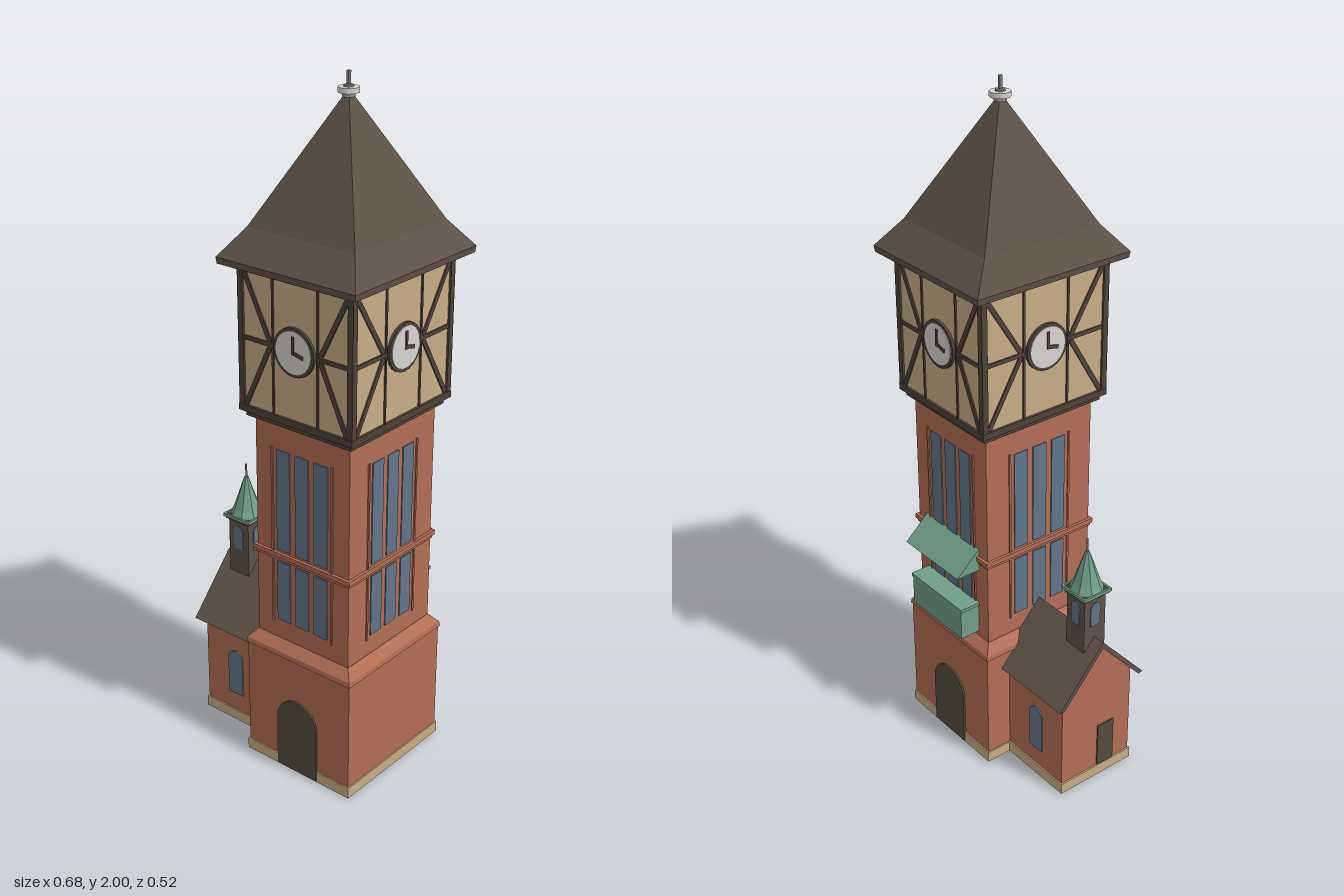
import * as THREE from 'three';

const mat = (name, color) => {
  const m = new THREE.MeshStandardMaterial({ color });
  m.name = name;
  return m;
};

export function createModel() {
  const brick = mat('brick', 0xb46e55), cream = mat('cream plaster', 0xc8ad85);
  const roofBrown = mat('roof brown', 0x5f5247), timber = mat('dark timber', 0x4d4238);
  const glass = mat('window blue', 0x61758a), green = mat('copper green', 0x6f9f88);
  const pale = mat('pale grey', 0xd6d5d0), doorMat = mat('door brown', 0x554b42);
  const metal = mat('metal grey', 0x85827d);

  const model = new THREE.Group();
  model.name = 'clockTower';
  const CX = 0.11, CZ = 0.003;

  const add = (parent, name, geo, material, x = 0, y = 0, z = 0) => {
    const m = new THREE.Mesh(geo, material);
    m.name = name;
    m.position.set(x, y, z);
    parent.add(m);
    return m;
  };
  // box given by its width, bottom, top and depth
  const box = (parent, name, material, w, y0, y1, d, x = 0, z = 0) =>
    add(parent, name, new THREE.BoxGeometry(w, y1 - y0, d), material, x, (y0 + y1) / 2, z);

  // rectangular loft through [halfX, halfZ, y] sections, flat faced and capped
  const loft = (sections) => {
    const p = [];
    const corners = ([a, b, y]) => [[-a, y, b], [a, y, b], [a, y, -b], [-a, y, -b]];
    const quad = (a, b, c, d) => p.push(...a, ...b, ...c, ...a, ...c, ...d);
    const rings = sections.map(corners);
    for (let i = 0; i < rings.length - 1; i++)
      for (let k = 0; k < 4; k++) {
        const n = (k + 1) % 4;
        quad(rings[i][k], rings[i][n], rings[i + 1][n], rings[i + 1][k]);
      }
    const lo = rings[0], hi = rings[rings.length - 1];
    quad(lo[3], lo[2], lo[1], lo[0]);
    quad(hi[0], hi[1], hi[2], hi[3]);
    const g = new THREE.BufferGeometry();
    g.setAttribute('position', new THREE.Float32BufferAttribute(p, 3));
    g.computeVertexNormals();
    return g;
  };

  // thin round-topped plate standing on y = 0
  const arch = (w, h) => {
    const r = w / 2, s = new THREE.Shape();
    s.moveTo(-r, 0);
    s.lineTo(r, 0);
    s.lineTo(r, h - r);
    s.absarc(0, h - r, r, 0, Math.PI, false);
    s.closePath();
    return new THREE.ExtrudeGeometry(s, { depth: 0.006, bevelEnabled: false, curveSegments: 10 });
  };
  // polygon in the (z, y) plane pulled along x from x0 to x1
  const prismX = (points, x0, x1) => {
    const s = new THREE.Shape(points.map(([z, y]) => new THREE.Vector2(-z, y)));
    const g = new THREE.ExtrudeGeometry(s, { depth: x1 - x0, bevelEnabled: false });
    return g.rotateY(Math.PI / 2).translate(x0, 0, 0);
  };
  // flat bar between two points on a wall
  const bar = (parent, name, material, x1, y1, x2, y2, w, z, t = 0.008) => {
    const m = add(parent, name, new THREE.BoxGeometry(Math.hypot(x2 - x1, y2 - y1), w, t),
      material, (x1 + x2) / 2, (y1 + y2) / 2, z);
    m.rotation.z = Math.atan2(y2 - y1, x2 - x1);
  };

  // ---- Tower body
  const tower = new THREE.Group();
  tower.name = 'tower';
  tower.position.set(CX, 0, CZ);
  model.add(tower);
  add(tower, 'towerBase', loft([[0.186, 0.208, 0], [0.186, 0.208, 0.37], [0.19, 0.212, 0.372],
    [0.188, 0.21, 0.387], [0.164, 0.186, 0.415]]), brick);
  box(tower, 'plinth', cream, 0.38, 0.001, 0.035, 0.424);
  box(tower, 'shaft', brick, 0.326, 0.41, 1.09, 0.37);
  box(tower, 'stringCourse', brick, 0.344, 0.678, 0.692, 0.388);
  box(tower, 'lowerStringCourse', brick, 0.334, 0.668, 0.678, 0.378);
  box(tower, 'corbel', timber, 0.36, 1.085, 1.108, 0.404);
  box(tower, 'clockChamber', cream, 0.374, 1.105, 1.52, 0.418);
  box(tower, 'chamberSill', timber, 0.388, 1.103, 1.122, 0.432);
  box(tower, 'chamberHeadBeam', timber, 0.388, 1.498, 1.518, 0.432);
  for (const sx of [-1, 1]) for (const sz of [-1, 1])
    box(tower, 'cornerPost', timber, 0.018, 1.11, 1.51, 0.018, sx * 0.184, sz * 0.206);

  // ---- Repeated details on the four tower faces
  for (let k = 0; k < 4; k++) {
    const side = new THREE.Group();
    side.name = 'towerFace' + (k + 1);
    side.rotation.y = k * Math.PI / 2;
    tower.add(side);
    const odd = k % 2 === 1;
    const shaftD = odd ? 0.163 : 0.185, chamberD = odd ? 0.187 : 0.209;
    const halfW = odd ? 0.206 : 0.184;

    for (const i of [-1, 0, 1]) {
      box(side, 'upperWindow', glass, 0.047, 0.7, 1.005, 0.006, i * 0.066, shaftD);
      box(side, 'lowerWindow', glass, 0.047, 0.475, 0.662, 0.006, i * 0.066, shaftD);
    }
    for (const s of [-1, 1]) {
      box(side, 'windowEdge', brick, 0.006, 0.465, 1.01, 0.008, s * 0.105, shaftD);
      box(side, 'studPost', timber, 0.006, 1.12, 1.5, 0.008, s * 0.075, chamberD);
      bar(side, 'rail', timber, s * 0.075, 1.315, s * halfW, 1.315, 0.012, chamberD);
      bar(side, 'upperBrace', timber, s * (halfW - 0.013), 1.495, s * 0.085, 1.322, 0.014, chamberD);
      bar(side, 'lowerBrace', timber, s * (halfW - 0.013), 1.125, s * 0.085, 1.308, 0.014, chamberD);
    }

    // clock
    const disc = (r, t) => new THREE.CylinderGeometry(r, r, t, 24).rotateX(Math.PI / 2);
    add(side, 'clockRim', disc(0.068, 0.012), timber, 0, 1.315, chamberD + 0.002);
    add(side, 'clockDial', disc(0.059, 0.012), pale, 0, 1.315, chamberD + 0.004);
    bar(side, 'minuteHand', timber, 0, 1.31, 0, 1.36, 0.008, chamberD + 0.011, 0.004);
    bar(side, 'hourHand', timber, -0.003, 1.317, 0.034, 1.308, 0.01, chamberD + 0.011, 0.004);

    if (!odd) add(side, 'archedDoor', arch(0.145, 0.237), doorMat, 0, 0.004, 0.2085);
  }

  // ---- Main roof and finial
  add(tower, 'mainRoof', loft([[0.228, 0.252, 1.515], [0.23, 0.254, 1.533],
    [0.176, 0.19, 1.61], [0.002, 0.002, 1.952]]), roofBrown);
  box(tower, 'eavesSoffit', timber, 0.42, 1.508, 1.52, 0.465);
  add(tower, 'finialDisc', new THREE.CylinderGeometry(0.029, 0.029, 0.014, 10), pale, 0, 1.953, 0);
  add(tower, 'finialKnob', new THREE.CylinderGeometry(0.013, 0.017, 0.03, 8), metal, 0, 1.95, 0);
  box(tower, 'finialRod', metal, 0.008, 1.94, 2.0, 0.008);

  // ---- Balcony and canopy on the back
  box(tower, 'balcony', green, 0.236, 0.43, 0.53, 0.066, 0, -0.215);
  box(tower, 'balconyRail', green, 0.244, 0.522, 0.532, 0.07, 0, -0.215);
  add(tower, 'canopy', prismX([[-0.18, 0.72], [-0.262, 0.645], [-0.18, 0.645]], -0.124, 0.124), green);

  // ---- Side annex
  const annex = new THREE.Group();
  annex.name = 'annex';
  annex.position.z = CZ;
  model.add(annex);
  add(annex, 'annexWalls', prismX([[-0.128, 0], [0.128, 0], [0.128, 0.33], [0, 0.478], [-0.128, 0.33]],
    -0.318, -0.07), brick);
  box(annex, 'annexPlinth', cream, 0.25, 0.001, 0.035, 0.264, -0.198);
  add(annex, 'annexRoof', prismX([[-0.156, 0.32], [-0.14, 0.318], [0, 0.474], [0.14, 0.318],
    [0.156, 0.32], [0, 0.495]], -0.34, -0.056), roofBrown);
  for (const s of [-1, 1]) {
    const w = add(annex, 'annexWindow', arch(0.056, 0.15), glass, -0.202, 0.095, s * 0.126);
    if (s < 0) w.rotation.y = Math.PI;
  }
  box(annex, 'annexDoor', doorMat, 0.006, 0.03, 0.18, 0.06, -0.319, 0.035);

  // ---- Turret on the annex ridge
  const turret = new THREE.Group();
  turret.name = 'turret';
  turret.position.set(-0.263, 0, CZ);
  model.add(turret);
  box(turret, 'turretBody', roofBrown, 0.076, 0.445, 0.635, 0.076);
  for (let k = 0; k < 4; k++) {
    const side = new THREE.Group();
    side.name = 'turretFace' + (k + 1);
    side.rotation.y = k * Math.PI / 2;
    turret.add(side);
    add(side, 'turretWindow', arch(0.034, 0.075), glass, 0, 0.535, 0.035);
    box(side, 'turretEave', green, 0.1, 0.634, 0.644, 0.006, 0, 0.047);
  }
  box(turret, 'turretCornice', timber, 0.09, 0.628, 0.64, 0.09);
  const cone = (r0, r1, h) => new THREE.CylinderGeometry(r1, r0, h, 8, 1).rotateY(Math.PI / 8).toNonIndexed();
  const spire = [cone(0.051, 0.04, 0.022).translate(0, 0.651, 0), cone(0.04, 0.006, 0.1).translate(0, 0.712, 0)];
  for (const g of spire) {
    g.computeVertexNormals();
    add(turret, 'turretSpire', g, green);
  }
  add(turret, 'turretFinial', new THREE.CylinderGeometry(0.003, 0.003, 0.06, 6), metal, 0, 0.772, 0);

  return model;
}
